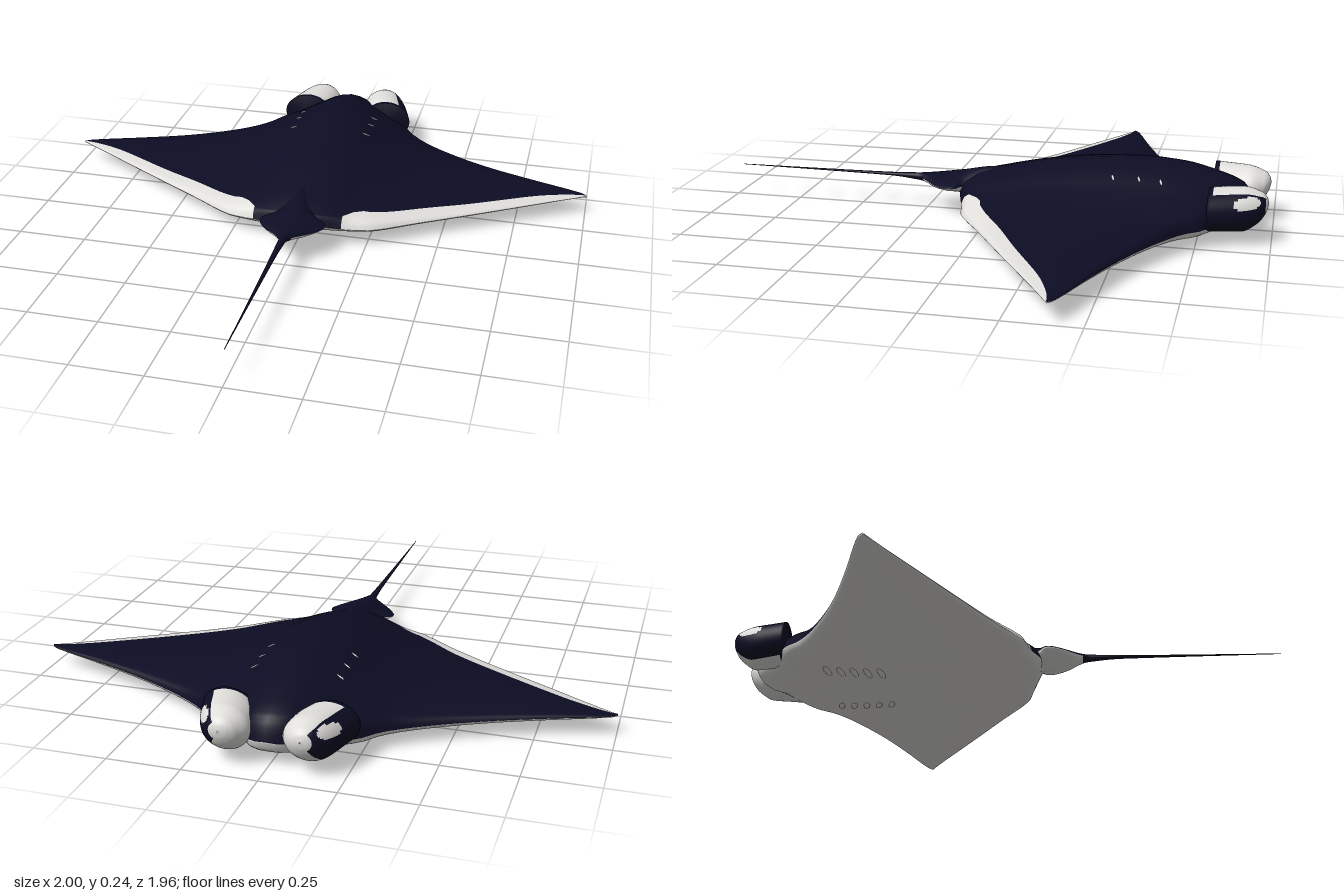
import * as THREE from 'three';

// Monotone cubic interpolation through [x, y] pairs
function curve(p) {
  const n = p.length;
  const d = p.slice(1).map((q, i) => (q[1] - p[i][1]) / (q[0] - p[i][0]));
  const m = p.map((_, i) => {
    if (i === 0) return d[0];
    if (i === n - 1) return d[n - 2];
    return d[i - 1] * d[i] <= 0 ? 0 : (2 * d[i - 1] * d[i]) / (d[i - 1] + d[i]);
  });
  return (x) => {
    if (x <= p[0][0]) return p[0][1];
    if (x >= p[n - 1][0]) return p[n - 1][1];
    let i = 0;
    while (x > p[i + 1][0]) i++;
    const h = p[i + 1][0] - p[i][0], t = (x - p[i][0]) / h;
    return p[i][1] * (1 + 2 * t) * (1 - t) ** 2 + h * m[i] * t * (1 - t) ** 2
      + p[i + 1][1] * t * t * (3 - 2 * t) + h * m[i + 1] * t * t * (t - 1);
  };
}

// Closed rings joined into one smooth skin; colourOf(i, j, midpoint) picks the material index
function loft(name, rings, materials, colourOf) {
  const M = rings[0].length, lists = materials.map(() => []);
  for (let i = 0; i < rings.length - 1; i++) {
    for (let j = 0; j < M; j++) {
      const k = (j + 1) % M;
      const a = i * M + j, b = i * M + k, c = a + M, d = b + M;
      const mid = rings[i][j].clone().add(rings[i + 1][k]).multiplyScalar(0.5);
      lists[colourOf(i, j, mid)].push(a, b, c, b, d, c);
    }
  }
  const g = new THREE.BufferGeometry().setFromPoints(rings.flat());
  g.setIndex(lists.flat());
  let start = 0;
  lists.forEach((l, i) => { g.addGroup(start, l.length, i); start += l.length; });
  g.computeVertexNormals();
  const mesh = new THREE.Mesh(g, materials);
  mesh.name = name;
  return mesh;
}

// Planform and thickness of the disc, by distance from the midline
const leading = curve([[-0.05, -0.92], [0, -0.93], [0.05, -0.92], [0.1, -0.87], [0.18, -0.82], [0.25, -0.775],
  [0.3, -0.715], [0.4, -0.645], [0.6, -0.545], [0.8, -0.47], [0.95, -0.42], [0.985, -0.405], [1, -0.39]]);
const trailing = curve([[0, 0.13], [0.1, 0.1], [0.2, 0.07], [0.25, 0.06], [0.3, 0.035], [0.4, -0.03],
  [0.6, -0.15], [0.8, -0.27], [0.9, -0.33], [0.97, -0.37], [1, -0.387]]);
const topY = curve([[-0.1, 0.225], [0, 0.245], [0.1, 0.225], [0.2, 0.18], [0.3, 0.145], [0.4, 0.122],
  [0.6, 0.101], [0.8, 0.091], [1, 0.08]]);
const bottomY = curve([[-0.1, 0.01], [0, 0.005], [0.1, 0.01], [0.2, 0.02], [0.4, 0.035], [0.6, 0.046],
  [0.8, 0.058], [1, 0.072]]);
const edgeY = curve([[0, 0.1], [0.1, 0.088], [0.2, 0.073], [0.4, 0.07], [1, 0.076]]);
const bulge = curve([[0, 0], [0.01, 0.28], [0.03, 0.5], [0.12, 0.76], [0.22, 0.93], [0.36, 1], [0.5, 0.96],
  [0.69, 0.79], [0.88, 0.5], [0.95, 0.37], [0.985, 0.24], [1, 0]]);
const stripWidth = curve([[0.15, 0.02], [0.23, 0.07], [0.4, 0.07], [0.6, 0.06], [0.8, 0.05], [0.95, 0.022], [1, 0.004]]);

// Point on the upper (or lower) skin at span x and chord fraction t
function skin(x, t, upper) {
  const a = Math.abs(x), e = edgeY(a);
  const z = leading(a) + (trailing(a) - leading(a)) * t;
  return new THREE.Vector3(x, e + ((upper ? topY(a) : bottomY(a)) - e) * bulge(t), z);
}

function makeDisc(materials) {
  const N = 96, FRONT = 32, STRIP = 8, BELLY = 36, rings = [];
  for (let i = 0; i <= N; i++) {
    const x = Math.sin((i / N - 0.5) * Math.PI), a = Math.abs(x);
    const split = 1 - Math.min(0.35, stripWidth(a) / (trailing(a) - leading(a)));
    const ring = [];
    for (let j = 0; j < FRONT; j++) ring.push(skin(x, split * (1 - Math.cos((j / FRONT) * Math.PI / 2)), true));
    for (let j = 0; j < STRIP; j++) ring.push(skin(x, split + (1 - split) * Math.sin((j / STRIP) * Math.PI / 2), true));
    for (let j = 0; j < BELLY; j++) ring.push(skin(x, (1 + Math.cos((j / BELLY) * Math.PI)) / 2, false));
    rings.push(ring);
  }
  return loft('disc', rings, materials, (i, j, p) =>
    (j >= FRONT + STRIP || (j >= FRONT && Math.abs(p.x) > 0.17) ? 1 : 0));
}

// Elliptical ring facing along z
function ellipse(cx, cy, z, rx, ry, count) {
  return Array.from({ length: count }, (_, j) => {
    const a = (j / count) * Math.PI * 2;
    return new THREE.Vector3(cx + rx * Math.cos(a), cy + ry * Math.sin(a), z);
  });
}

// Pelvic lobes narrowing into the whip tail
function makeTail(materials) {
  const width = curve([[-0.1, 0.04], [0.05, 0.06], [0.1, 0.08], [0.12, 0.112], [0.14, 0.12], [0.17, 0.108],
    [0.2, 0.085], [0.25, 0.033], [0.28, 0.013], [0.6, 0.006], [0.97, 0.001]]);
  const upper = curve([[-0.1, 0.18], [0, 0.177], [0.1, 0.16], [0.2, 0.142], [0.27, 0.135], [0.4, 0.129], [0.97, 0.123]]);
  const lower = curve([[-0.1, 0.06], [0, 0.06], [0.1, 0.07], [0.2, 0.085], [0.27, 0.105], [0.4, 0.117], [0.97, 0.121]]);
  const rings = [];
  for (let i = 0; i <= 80; i++) {
    const z = i < 48 ? -0.1 + (i / 48) * 0.4 : 0.3 + ((i - 48) / 32) * 0.67;
    const cy = (upper(z) + lower(z)) / 2;
    const ring = ellipse(0, cy, z, width(z), (upper(z) - lower(z)) / 2, 32);
    // Thin the lobes toward their sides, leaving a ridge on the midline
    if (z < 0.3) ring.forEach((p) => { p.y = cy + (p.y - cy) * (1 - 0.5 * Math.min(1, Math.abs(p.x) / 0.1)); });
    rings.push(ring);
  }
  return loft('pelvicLobesAndTail', rings, materials, (i, j, p) => (j >= 16 && p.z < 0.26 ? 1 : 0));
}

// Rolled head fin: dark outer face with a pale spot
function makeHeadFin(side, materials) {
  const outer = curve([[-0.985, 0.132], [-0.98, 0.155], [-0.96, 0.185], [-0.9, 0.222], [-0.85, 0.24], [-0.785, 0.26]]);
  const inner = curve([[-0.985, 0.128], [-0.98, 0.105], [-0.96, 0.078], [-0.91, 0.053], [-0.85, 0.058], [-0.785, 0.08]]);
  const upper = curve([[-0.985, 0.147], [-0.98, 0.166], [-0.96, 0.184], [-0.9, 0.2], [-0.785, 0.198]]);
  const lower = curve([[-0.985, 0.143], [-0.98, 0.12], [-0.95, 0.075], [-0.9, 0.047], [-0.785, 0.05]]);
  const rings = [];
  for (let i = 0; i <= 40; i++) {
    const z = -0.985 + 0.2 * (i / 40) ** 1.6;
    const o = outer(z), n = inner(z), u = upper(z), l = lower(z);
    rings.push(ellipse(side * (o + n) / 2, (u + l) / 2, z, (o - n) / 2, (u - l) / 2, 56));
  }
  rings.push(ellipse(side * 0.17, 0.124, -0.778, 0.001, 0.001, 56));
  return loft(side > 0 ? 'leftHeadFin' : 'rightHeadFin', rings, materials, (i, j, p) => {
    if (i >= 38) return 0;
    const o = outer(p.z), n = inner(p.z);
    const out = (side * p.x - (o + n) / 2) / ((o - n) / 2);
    const spot = ((p.z + 0.915) / 0.045) ** 2 + ((p.y - 0.16) / 0.02) ** 2 < 1;
    return out > 0.5 && !spot && p.z > -0.975 ? 0 : 1;
  });
}

export function createModel() {
  const model = new THREE.Group();
  model.name = 'ray';
  const navy = new THREE.MeshStandardMaterial({ color: 0x0c0c24 });
  navy.name = 'navy back';
  const white = new THREE.MeshStandardMaterial({ color: 0xe0dfdc });
  white.name = 'white belly';
  const materials = [navy, white];
  model.add(makeDisc(materials), makeTail(materials));

  const bead = new THREE.SphereGeometry(1, 16, 10);
  const addSlit = (name, x, z, upper, length, width, turn) => {
    const a = Math.abs(x);
    const mesh = new THREE.Mesh(bead, white);
    mesh.name = name;
    mesh.position.copy(skin(x, (z - leading(a)) / (trailing(a) - leading(a)), upper));
    mesh.scale.set(length, upper ? 0.003 : 0.006, width);
    mesh.rotation.set(0, turn, upper ? -Math.sign(x) * 0.42 : Math.sign(x) * 0.1, 'ZYX');
    model.add(mesh);
  };
  for (const side of [1, -1]) {
    model.add(makeHeadFin(side, materials));
    // Gill slits below, pale flecks above
    for (let k = 0; k < 5; k++) addSlit('gillSlit', side * (0.155 - 0.004 * k), -0.64 + 0.047 * k, false, 0.034, 0.011, side * 0.2);
    for (const z of [-0.62, -0.545, -0.455]) addSlit('backFleck', side * 0.145, z, true, 0.015, 0.004, side * 0.3);
  }
  return model;
}
